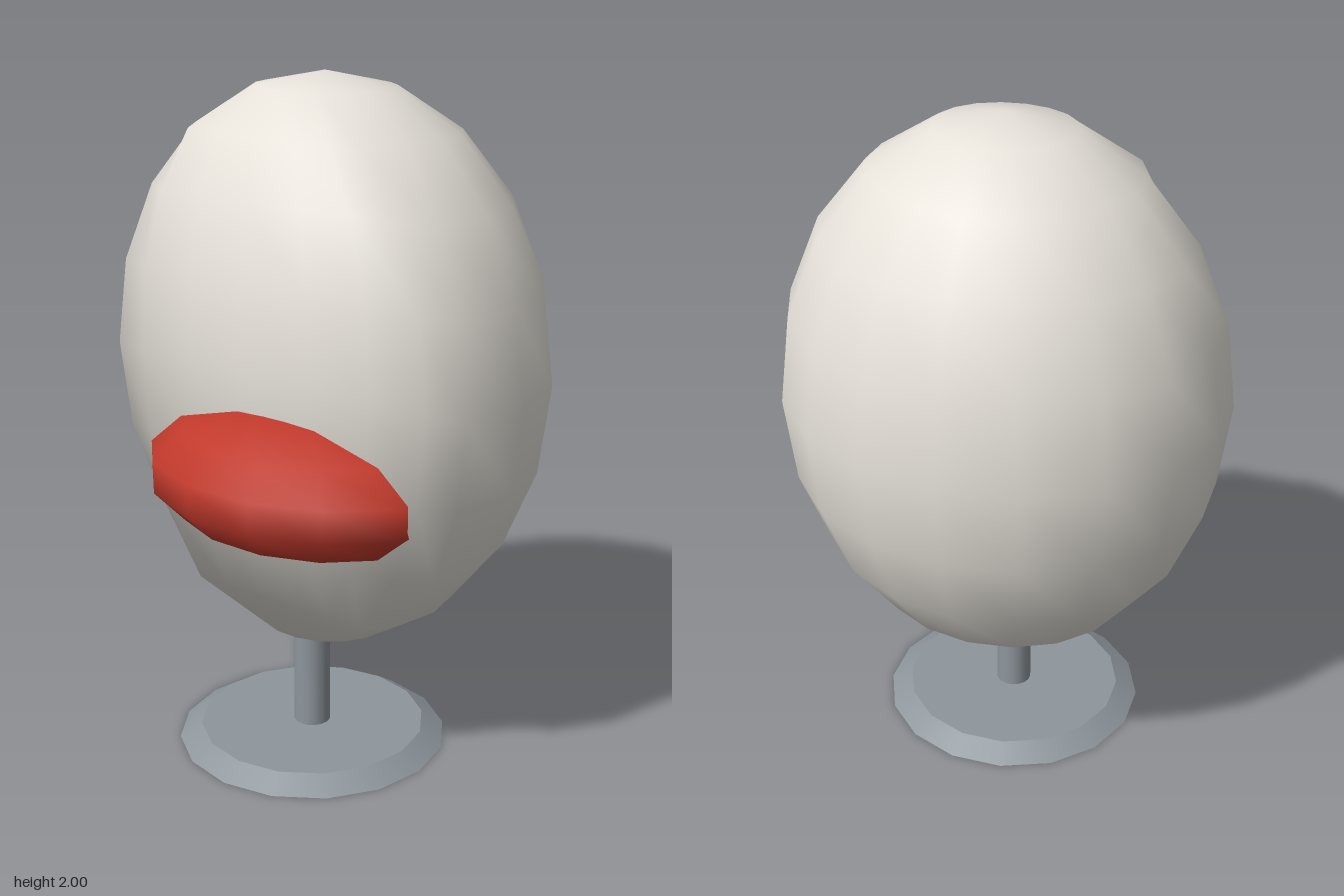
import * as THREE from 'three';

const shellMat = new THREE.MeshStandardMaterial({ color: 0xe6e2da });
const cushionMat = new THREE.MeshStandardMaterial({ color: 0xc0392b });
const metalMat = new THREE.MeshStandardMaterial({ color: 0x8e969c });

function addPart(group, name, geometry, material) {
  const mesh = new THREE.Mesh(geometry, material);
  mesh.name = name;
  group.add(mesh);
}

// Low-poly ellipsoid with smooth normals
function ellipsoid(radii, centre, columns, rows) {
  return new THREE.SphereGeometry(1, columns, rows).scale(...radii).translate(...centre);
}

export function createModel() {
  const chair = new THREE.Group();
  chair.name = 'eggChair';

  // Egg shell: vertices in front of the opening are pressed onto its plane,
  // keeping the rounded normals
  const frontZ = 0.29;
  const shell = ellipsoid([0.677, 0.838, 0.611], [0, 1.162, 0.06], 18, 10);
  const pos = shell.attributes.position;
  for (let i = 0; i < pos.count; i++) pos.setZ(i, Math.min(pos.getZ(i), frontZ));
  addPart(chair, 'shell', shell, shellMat);

  // Seat cushion bulging out of the opening
  addPart(chair, 'seatCushion', ellipsoid([0.52, 0.215, 0.405], [0, 0.85, 0.155], 14, 7), cushionMat);

  // Pedestal: post and bevelled round foot
  const standZ = 0.13;
  addPart(chair, 'post', new THREE.CylinderGeometry(0.055, 0.055, 0.36, 16).translate(0, 0.22, standZ), metalMat);
  addPart(chair, 'base', new THREE.CylinderGeometry(0.34, 0.406, 0.042, 16).translate(0, 0.021, standZ), metalMat);

  return chair;
}
